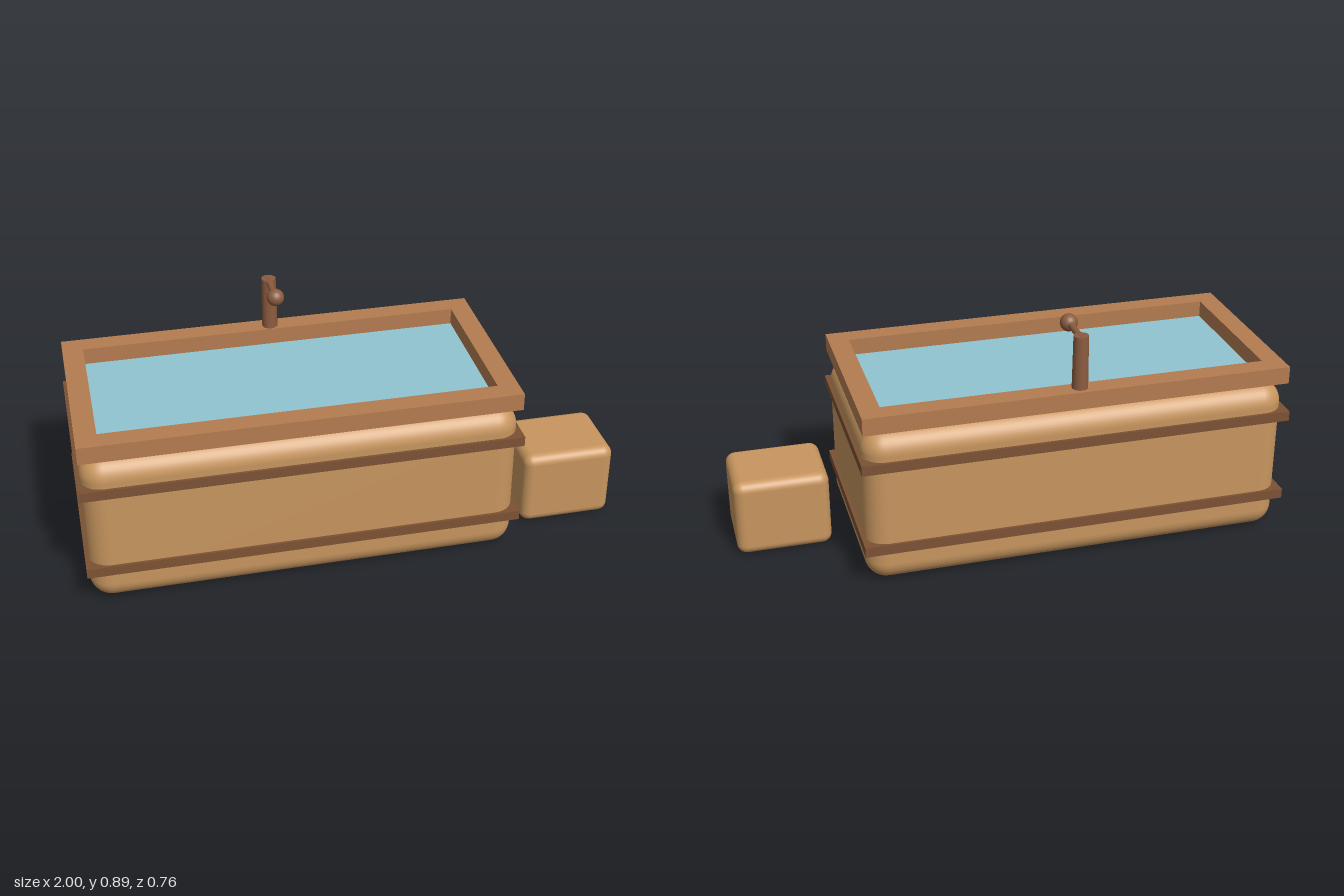
import * as THREE from 'three';
import { RoundedBoxGeometry } from 'three/addons/geometries/RoundedBoxGeometry.js';

const TUB_X = -0.208; // centre of the tub along x

const paint = (color) => new THREE.MeshStandardMaterial({ color });
const wood = paint(0xc8965f);
const rimWood = paint(0xb47c50);
const bandWood = paint(0x7c5234);
const tapWood = paint(0x8c5c40);
const waterBlue = paint(0x92c4d2);

function createModel() {
  const model = new THREE.Group();
  model.name = 'bathTubWithStool';

  const add = (name, geometry, material, x, y, z, parent = model) => {
    const mesh = new THREE.Mesh(geometry, material);
    mesh.name = name;
    mesh.position.set(x, y, z);
    parent.add(mesh);
    return mesh;
  };

  // Rounded tub body
  add('tubBody', new RoundedBoxGeometry(1.564, 0.59, 0.736, 6, 0.08), wood, TUB_X, 0.295, 0);

  // Two straps around the body
  [['lowerBand', 0.148], ['upperBand', 0.473]].forEach(([name, y]) =>
    add(name, new THREE.BoxGeometry(1.584, 0.037, 0.756), bandWood, TUB_X, y, 0));

  // Water slab between body and rim
  add('water', new THREE.BoxGeometry(1.42, 0.04, 0.592), waterBlue, TUB_X, 0.585, 0);

  // Rectangular rim with an open middle
  const rectangle = (path, w, d) => path
    .moveTo(-w / 2, -d / 2).lineTo(w / 2, -d / 2)
    .lineTo(w / 2, d / 2).lineTo(-w / 2, d / 2).closePath();
  const rimShape = rectangle(new THREE.Shape(), 1.564, 0.736);
  rimShape.holes.push(rectangle(new THREE.Path(), 1.412, 0.584));
  const rim = new THREE.ExtrudeGeometry(rimShape, { depth: 0.065, bevelEnabled: false });
  rim.rotateX(-Math.PI / 2);
  add('rim', rim, rimWood, TUB_X, 0.602, 0);

  // Tap on the back edge: post, spout and ball end
  const tap = new THREE.Group();
  tap.name = 'tap';
  tap.position.set(TUB_X, 0, 0);
  model.add(tap);
  add('tapPost', new THREE.CylinderGeometry(0.027, 0.029, 0.2, 24), tapWood, 0, 0.765, -0.325, tap);
  const spout = new THREE.CylinderGeometry(0.012, 0.012, 0.16, 20).rotateX(Math.PI / 2);
  add('tapSpout', spout, tapWood, 0, 0.855, -0.265, tap);
  add('tapBall', new THREE.SphereGeometry(0.032, 24, 16), tapWood, 0, 0.856, -0.186, tap);

  // Small rounded stool beside the tub
  add('stool', new RoundedBoxGeometry(0.35, 0.295, 0.293, 6, 0.037), wood, 0.823, 0.1475, 0.098);

  return model;
}

export { createModel };
